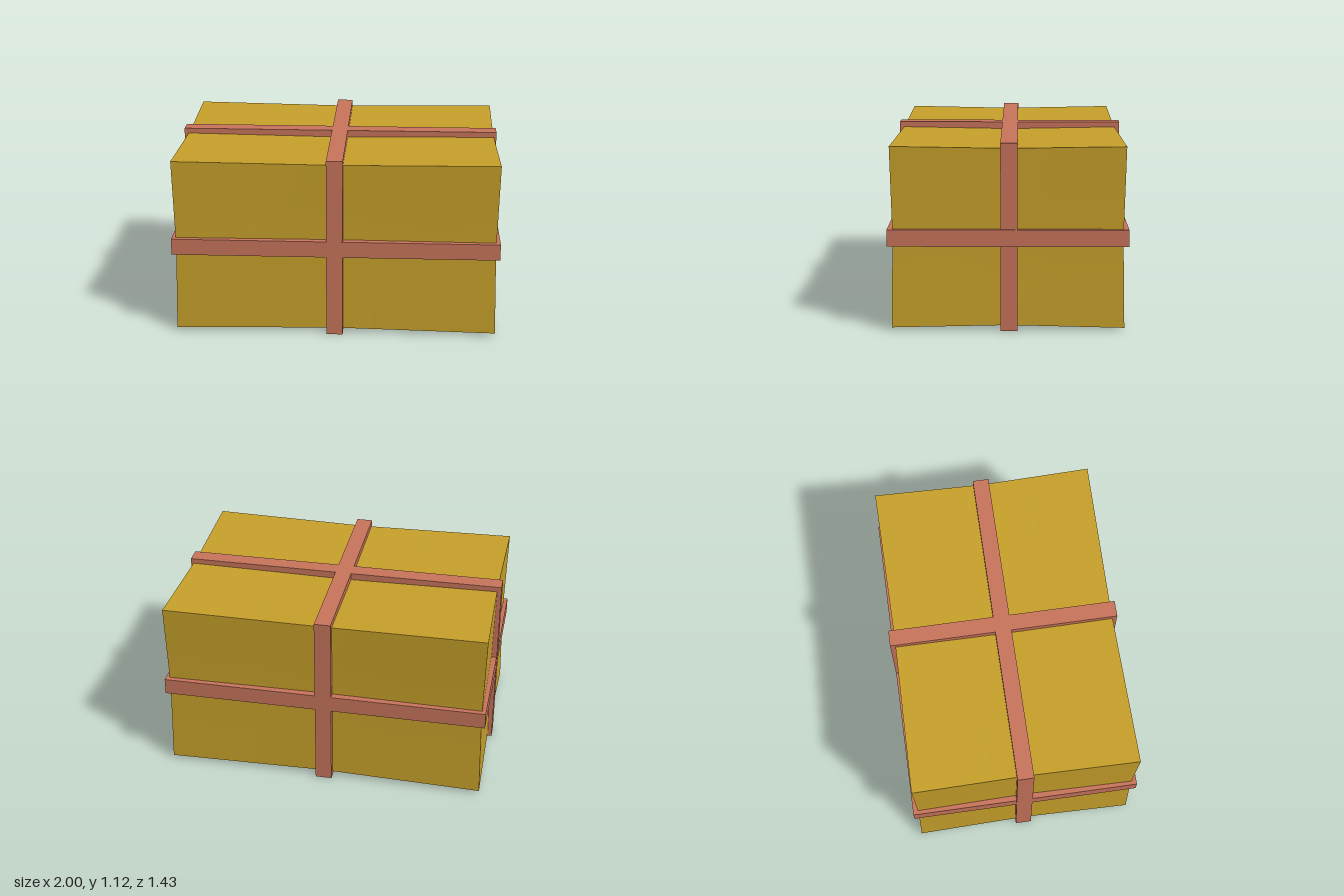
import * as THREE from 'three';

const HEIGHT = 1.115;
const MID = HEIGHT / 2;

export function createModel() {
  const paper = new THREE.MeshStandardMaterial({ color: 0xc9a22b });
  paper.name = 'goldPaper';
  const ribbon = new THREE.MeshStandardMaterial({ color: 0xc9755c });
  ribbon.name = 'coralStrap';

  const model = new THREE.Group();
  model.name = 'strappedParcel';

  // Parcel body: each face sinks slightly towards the straps
  const half = [0.98, 0.537, 0.683];
  const geo = new THREE.BoxGeometry(2, 2, 2, 4, 4, 4);
  const pos = geo.attributes.position;
  for (let i = 0; i < pos.count; i++) {
    const p = [pos.getX(i), pos.getY(i), pos.getZ(i)];
    const q = p.map((v, a) => {
      const across = (1 - Math.abs(p[(a + 1) % 3])) + (1 - Math.abs(p[(a + 2) % 3]));
      return v * (half[a] - 0.012 * across);
    });
    pos.setXYZ(i, ...q);
  }
  geo.computeVertexNormals();
  const body = new THREE.Mesh(geo, paper);
  body.name = 'parcelBody';
  body.position.y = MID;
  model.add(body);

  // Rectangular strap loop of outer half size a by b, lying in the XY plane
  function strap(name, a, b) {
    const rect = (path, w, h) => path.moveTo(-w, -h).lineTo(w, -h).lineTo(w, h).lineTo(-w, h).closePath();
    const shape = rect(new THREE.Shape(), a, b);
    shape.holes.push(rect(new THREE.Path(), a - 0.055, b - 0.055));
    const g = new THREE.ExtrudeGeometry(shape, { depth: 0.1, bevelEnabled: false });
    g.translate(0, 0, -0.05);
    const mesh = new THREE.Mesh(g, ribbon);
    mesh.name = name;
    mesh.position.y = MID;
    model.add(mesh);
    return mesh;
  }

  // Lengthwise, crosswise and waist straps
  const lengthwise = strap('lengthwiseStrap', 0.99, MID);
  lengthwise.position.x = -0.005;
  lengthwise.position.z = -0.006;
  const crosswise = strap('crosswiseStrap', 0.701, MID);
  crosswise.rotation.y = Math.PI / 2;
  crosswise.position.x = -0.004;
  crosswise.position.z = -0.002;
  const waist = strap('waistStrap', 0.993, 0.703);
  waist.rotation.x = Math.PI / 2;
  waist.position.y = 0.559;

  // The parcel sits very slightly turned
  model.rotation.y = 0.01;
  return model;
}
